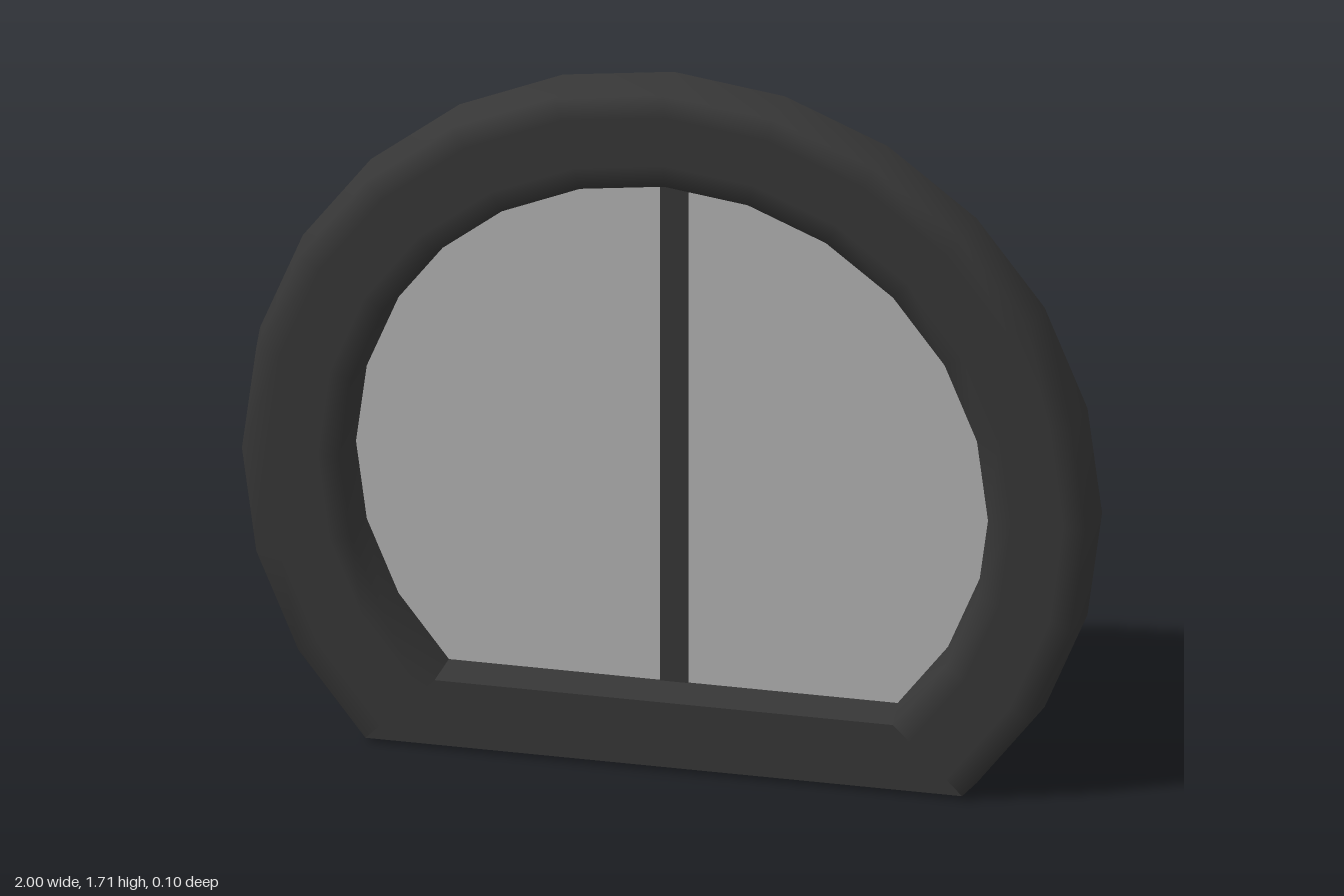
import * as THREE from 'three';

const CENTRE_Y = Math.SQRT1_2;      // circle centre, so the cut base rests on y = 0
const START = -Math.PI / 4;         // arc runs from lower right over the top to lower left
const STEPS = 18;                   // 15 degrees each
const STEP = Math.PI / 12;

// Channel section, open at the back: [radius, z] from outer rim to inner rim
const SECTION = [[1, -0.05], [0.985, 0.05], [0.93, 0.05], [0.81, 0.05], [0.757, 0.05], [0.74, -0.05]];

const arcAngles = Array.from({ length: STEPS + 1 }, (_, i) => START + i * STEP);

// Sweep the channel section through a list of angles
function sweep(angles) {
  const positions = [], index = [], n = SECTION.length;
  for (const a of angles) {
    for (const [r, z] of SECTION) positions.push(r * Math.cos(a), CENTRE_Y + r * Math.sin(a), z);
  }
  for (let i = 0; i < angles.length - 1; i++) {
    for (let j = 0; j < n - 1; j++) {
      const a = i * n + j, b = a + n;
      index.push(a, b, a + 1, b, b + 1, a + 1);
    }
  }
  const geometry = new THREE.BufferGeometry();
  geometry.setAttribute('position', new THREE.Float32BufferAttribute(positions, 3));
  geometry.setIndex(index);
  return geometry;
}

export function createModel() {
  const frameMaterial = new THREE.MeshStandardMaterial({ color: 0x363636, side: THREE.DoubleSide });
  frameMaterial.name = 'charcoal frame';
  const glassMaterial = new THREE.MeshStandardMaterial({ color: 0xb0b0b0, side: THREE.DoubleSide });
  glassMaterial.name = 'grey glass';

  const group = new THREE.Group();
  group.name = 'roundWindow';
  const add = (name, geometry, material) => {
    const mesh = new THREE.Mesh(geometry, material);
    mesh.name = name;
    group.add(mesh);
    return mesh;
  };

  // Arched frame, smooth over its edges
  const arch = sweep(arcAngles);
  arch.computeVertexNormals();
  add('archFrame', arch, frameMaterial);

  // Straight sill closing the arch, with crisp edges
  const sill = sweep([START + STEPS * STEP, START + Math.PI * 2]).toNonIndexed();
  sill.computeVertexNormals();
  add('sill', sill, frameMaterial);

  // Glass pane set at the inner rim
  const outline = arcAngles.map(a => new THREE.Vector2(0.741 * Math.cos(a), CENTRE_Y + 0.741 * Math.sin(a)));
  add('glass', new THREE.ShapeGeometry(new THREE.Shape(outline)), glassMaterial).position.z = -0.045;

  // Central glazing bar, visible on both sides of the pane
  const bottom = CENTRE_Y - 0.74 * Math.SQRT1_2, top = CENTRE_Y + 0.74;
  add('glazingBar', new THREE.BoxGeometry(0.065, top - bottom, 0.009), frameMaterial)
    .position.set(0.003, (top + bottom) / 2, -0.045);

  return group;
}
